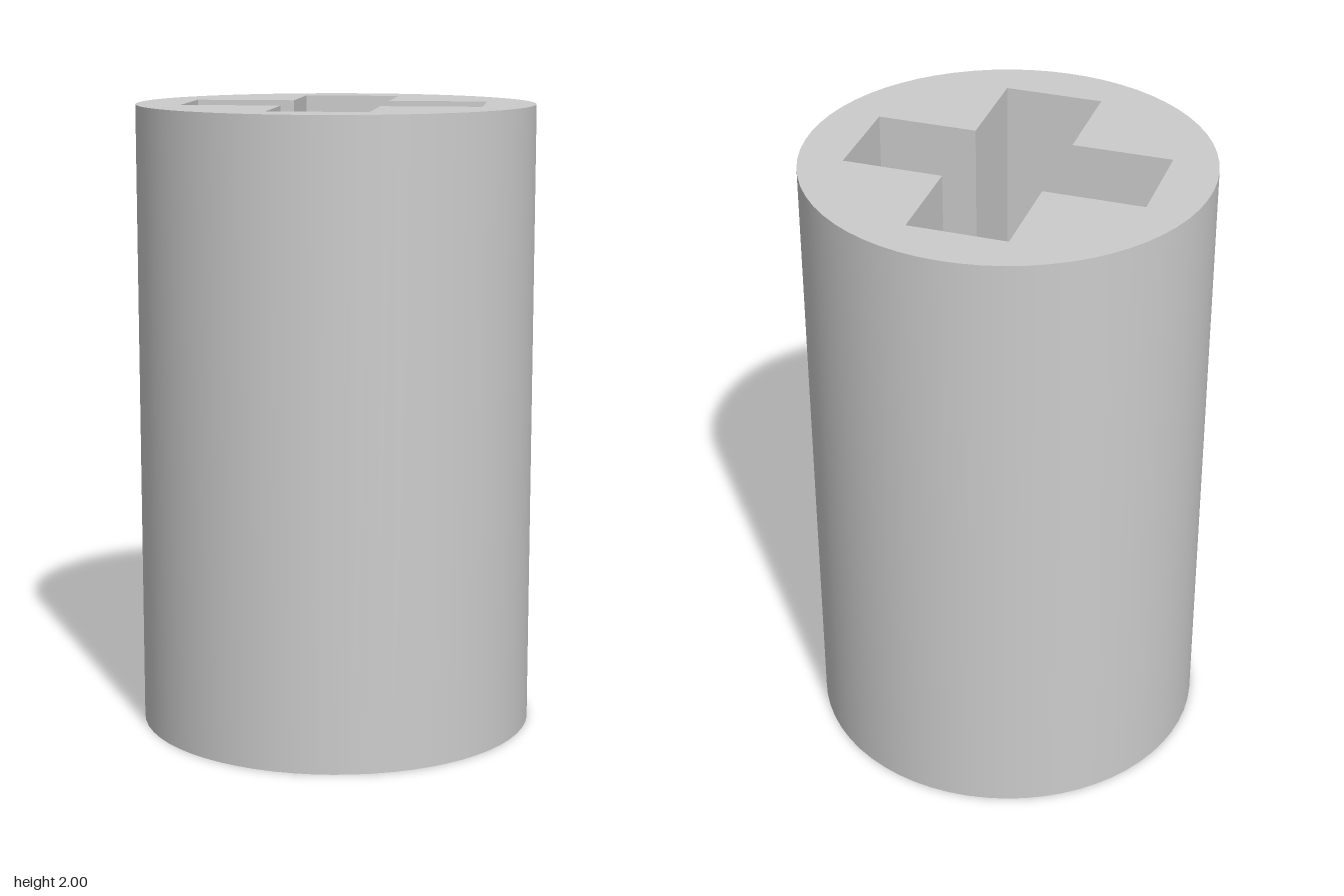
import * as THREE from 'three';

const HEIGHT = 2, RADIUS = 0.632, SEGMENTS = 64;
const ARM = 0.47, HALF = 0.155, DEPTH = 0.92; // cross-shaped socket

// Cross outline, counter-clockwise: three corners per quarter turn
function crossPoints() {
  const points = [];
  const quarter = [[ARM, -HALF], [ARM, HALF], [HALF, HALF]];
  for (let i = 0; i < 4; i++) {
    for (const [x, y] of quarter) {
      points.push(new THREE.Vector2(x, y).rotateAround(new THREE.Vector2(), i * Math.PI / 2));
    }
  }
  return points;
}

// Inward-facing vertical walls below a closed outline
function wallGeometry(outline, top, bottom) {
  const positions = [];
  outline.forEach((a, i) => {
    const b = outline[(i + 1) % outline.length];
    const corners = [[b, bottom], [a, bottom], [a, top], [b, top]];
    for (const k of [0, 1, 2, 0, 2, 3]) {
      const [p, y] = corners[k];
      positions.push(p.x, y, -p.y);
    }
  });
  const geometry = new THREE.BufferGeometry();
  geometry.setAttribute('position', new THREE.Float32BufferAttribute(positions, 3));
  geometry.computeVertexNormals();
  return geometry;
}

export function createModel() {
  const group = new THREE.Group();
  group.name = 'crossSocketPost';
  const grey = new THREE.MeshStandardMaterial({ color: 0xcccccc });
  grey.name = 'light grey';

  const add = (name, geometry, y = 0) => {
    const mesh = new THREE.Mesh(geometry, grey);
    mesh.name = name;
    mesh.position.y = y;
    group.add(mesh);
  };
  const flat = (shape) => new THREE.ShapeGeometry(shape).rotateX(-Math.PI / 2);

  const cross = crossPoints();
  const circle = Array.from({ length: SEGMENTS }, (_, i) => {
    const a = (i / SEGMENTS) * Math.PI * 2;
    return new THREE.Vector2(Math.cos(a) * RADIUS, Math.sin(a) * RADIUS);
  });

  // Smooth outer barrel and closed base
  add('barrel', new THREE.CylinderGeometry(RADIUS, RADIUS, HEIGHT, SEGMENTS, 1, true), HEIGHT / 2);
  add('base', new THREE.CircleGeometry(RADIUS, SEGMENTS).rotateX(Math.PI / 2));

  // Top face pierced by the cross
  const rim = new THREE.Shape(circle);
  rim.holes.push(new THREE.Path(cross));
  add('topRim', flat(rim), HEIGHT);

  // Blind socket
  add('socketWalls', wallGeometry(cross, HEIGHT, HEIGHT - DEPTH));
  add('socketFloor', flat(new THREE.Shape(cross)), HEIGHT - DEPTH);

  return group;
}
